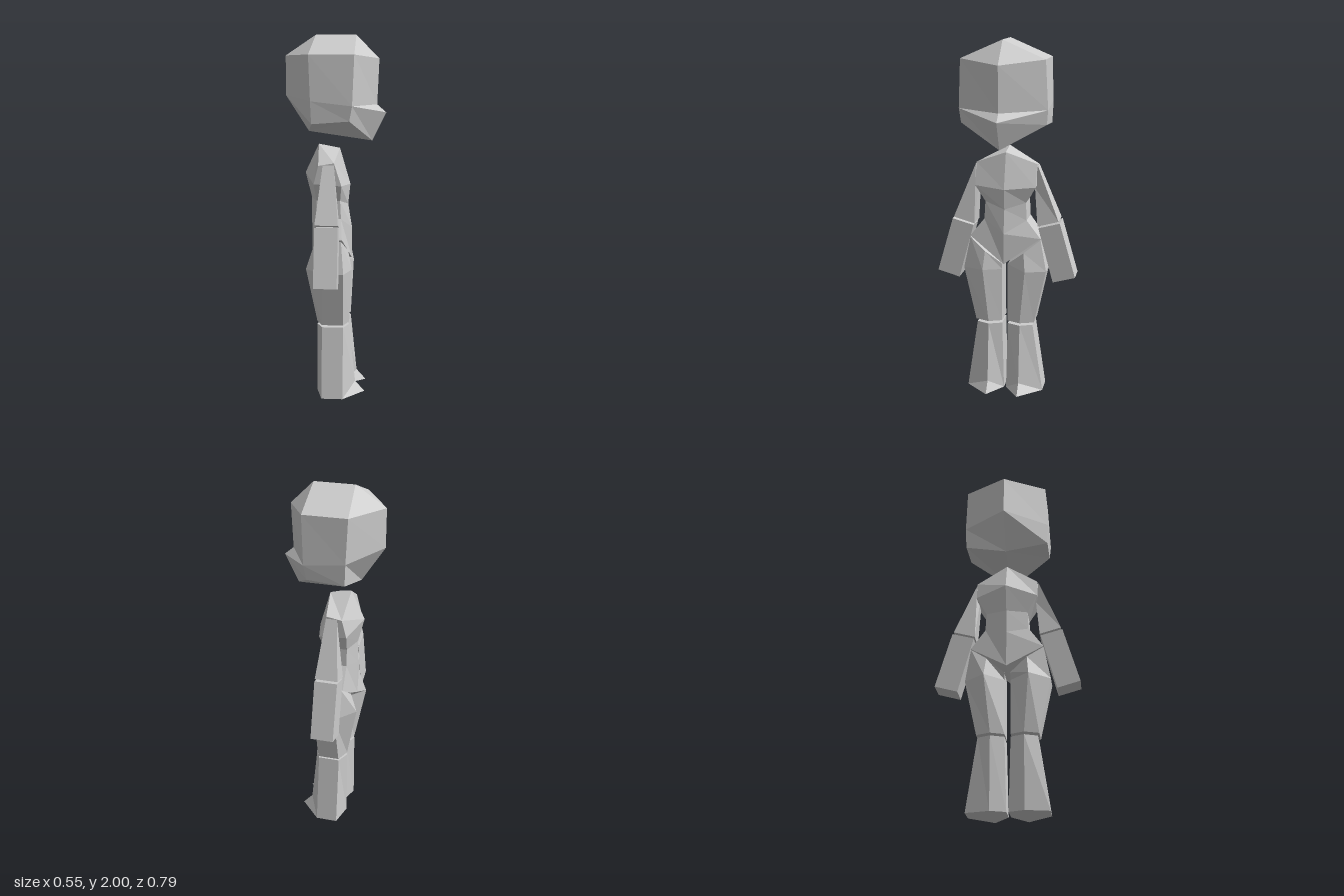
import * as THREE from 'three';

const grey = new THREE.MeshStandardMaterial({ color: 0xcccccc, flatShading: true });
grey.name = 'plain grey';

// Skin rows of points (top to bottom, each a loop counter-clockwise from above) and cap both ends.
// side = -1 mirrors the part across the z = 0 plane.
function loft(name, rows, side = 1) {
  const loops = rows.map((row) => {
    const pts = row.map(([x, y, z]) => new THREE.Vector3(x, y, z * side));
    return side > 0 ? pts : [pts[0], ...pts.slice(1).reverse()];
  });
  const pos = [];
  const tri = (a, b, c) => {
    const area = b.clone().sub(a).cross(c.clone().sub(a)).length();
    if (area > 1e-7) [a, b, c].forEach((p) => pos.push(p.x, p.y, p.z));
  };
  const quad = (a, b, c, d) => { tri(a, b, c); tri(a, c, d); };
  const n = loops[0].length;
  for (let r = 0; r < loops.length - 1; r++) {
    for (let i = 0; i < n; i++) {
      const j = (i + 1) % n, up = loops[r], low = loops[r + 1];
      quad(up[i], low[i], low[j], up[j]);
    }
  }
  const cap = (l, f) => {
    f(l[0], l[1], l[2], l[3]);
    if (n === 6) f(l[3], l[4], l[5], l[0]);
  };
  cap(loops[0], quad);
  cap(loops[loops.length - 1], (a, b, c, d) => quad(a, d, c, b));
  const geo = new THREE.BufferGeometry();
  geo.setAttribute('position', new THREE.Float32BufferAttribute(pos, 3));
  geo.computeVertexNormals();
  const mesh = new THREE.Mesh(geo, grey);
  mesh.name = name;
  return mesh;
}

// Complete a half row (back, side back, side front, front) into a symmetric loop.
const sym = ([back, sb, sf, front]) => {
  const flip = ([x, y, z]) => [x, y, -z];
  return [back, sb, sf, front, flip(sf), flip(sb)];
};

export function createModel() {
  const model = new THREE.Group();
  model.name = 'figure';

  // Head: crown, brow, cheeks, pointed nose, jaw
  const backCheek = [-0.275, 1.675, 0], sideBack = [-0.12, 1.66, 0.24], sideFront = [0.1, 1.635, 0.243];
  model.add(loft('head', [
    [[-0.11, 2, 0], [-0.11, 2, 0], [0.11, 2, 0], [0.11, 2, 0]],
    [[-0.275, 1.89, 0], [-0.13, 1.9, 0.23], [0.11, 1.9, 0.23], [0.235, 1.875, 0]],
    [backCheek, sideBack, sideFront, [0.225, 1.628, 0]],
    [backCheek, sideBack, sideFront, [0.275, 1.585, 0]],
    [[-0.15, 1.48, 0], [-0.115, 1.54, 0.235], [0.085, 1.555, 0.235], [0.2, 1.43, 0]],
  ].map(sym)));

  // Torso: shoulders, chest, waist, hips with a V-shaped lower edge
  model.add(loft('torso', [
    [[-0.095, 1.41, 0], [-0.085, 1.31, 0.17], [0, 1.325, 0.17], [0.022, 1.388, 0]],
    [[-0.17, 1.25, 0], [-0.11, 1.21, 0.17], [0.04, 1.2, 0.17], [0.08, 1.188, 0]],
    [[-0.135, 1.11, 0], [-0.1, 1.11, 0.115], [0.03, 1.11, 0.115], [0.068, 1.075, 0]],
    [[-0.135, 0.98, 0], [-0.1, 1.01, 0.12], [0.035, 1.01, 0.12], [0.09, 0.94, 0]],
    [[-0.135, 0.78, 0], [-0.1, 0.9, 0.2], [0.045, 0.91, 0.2], [0.09, 0.765, 0]],
  ].map(sym)));

  // Four-cornered arm row from its outer and inner edge
  const armRow = (x0, x1, [zo, yo], [zi, yi]) =>
    [[x0, yo, zo], [x1, yo, zo], [x1, yi, zi], [x0, yi, zi]];

  for (const side of [1, -1]) {
    const label = side > 0 ? 'front' : 'rear';

    // Arm
    model.add(loft(label + 'UpperArm', [
      armRow(-0.06, 0, [0.175, 1.315], [0.16, 1.19]),
      armRow(-0.095, 0.03, [0.298, 1.01], [0.18, 0.977]),
    ], side));
    model.add(loft(label + 'Forearm', [
      armRow(-0.095, 0.03, [0.305, 1.0], [0.185, 0.967]),
      armRow(-0.095, 0.03, [0.395, 0.69], [0.27, 0.655]),
    ], side));

    // Thigh, its top slanted along the hip line
    const slant = (x, z) => [x, 0.745 + 0.78 * z, z];
    model.add(loft(label + 'Thigh', [
      [slant(-0.125, 0.11), slant(-0.09, 0.2), slant(0.04, 0.2), slant(0.075, 0.11), slant(0.055, 0.016), slant(-0.09, 0.016)],
      [[-0.16, 0.725, 0.12], [-0.06, 0.725, 0.235], [0.055, 0.725, 0.235], [0.095, 0.725, 0.12], [0.055, 0.725, 0.016], [-0.06, 0.725, 0.016]],
      [[-0.1, 0.415, 0.09], [-0.068, 0.415, 0.168], [0.05, 0.415, 0.168], [0.08, 0.415, 0.09], [0.05, 0.415, 0.016], [-0.068, 0.415, 0.016]],
    ], side));

    // Shin ending in a small pointed toe
    const sole = (front) => [[-0.1, 0, 0.09], [-0.068, 0, 0.22], [0.05, 0, 0.22], front, [0.05, 0, 0.006], [-0.068, 0, 0.006]];
    model.add(loft(label + 'Shin', [
      [[-0.1, 0.4, 0.09], [-0.068, 0.4, 0.16], [0.05, 0.4, 0.16], [0.08, 0.4, 0.09], [0.05, 0.4, 0.016], [-0.068, 0.4, 0.016]],
      sole([0.115, 0.06, 0.09]),
      sole([0.168, 0, 0.09]),
    ], side));
  }
  return model;
}
